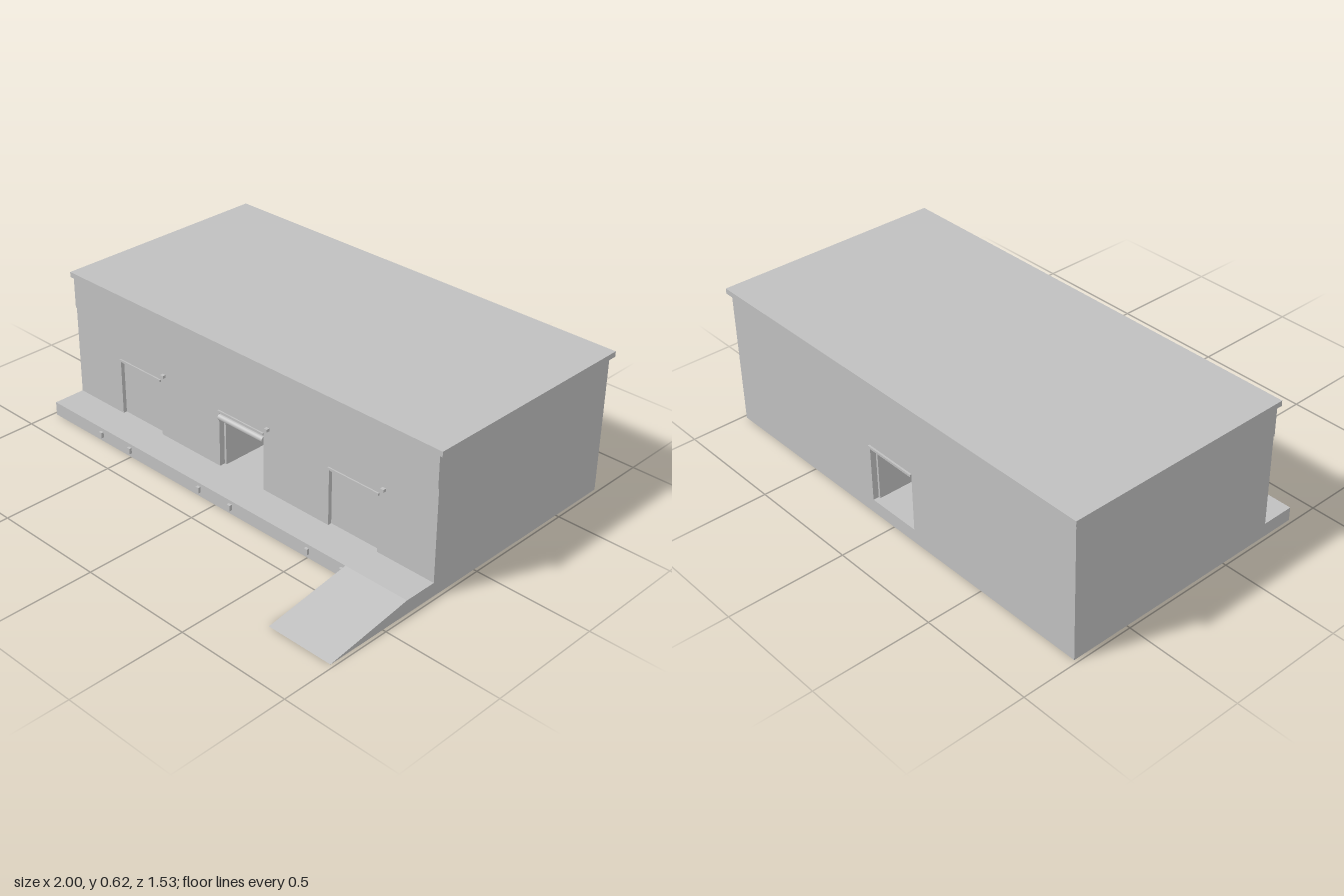
import * as THREE from 'three';

export function createModel() {
  const model = new THREE.Group();
  const grey = new THREE.MeshStandardMaterial({ color: 0xc0c0c0 });
  grey.name = 'plain grey';

  const add = (name, geometry) => {
    const mesh = new THREE.Mesh(geometry, grey);
    mesh.name = name;
    model.add(mesh);
    return mesh;
  };
  // Box given by its min and max on each axis
  const box = (name, x0, x1, y0, y1, z0, z1) =>
    add(name, new THREE.BoxGeometry(x1 - x0, y1 - y0, z1 - z0))
      .position.set((x0 + x1) / 2, (y0 + y1) / 2, (z0 + z1) / 2);

  const W = 0.985, H = 0.597, T = 0.025;        // half width, wall height, wall thickness
  const FRONT = 0.23, BACK = -0.755;
  const FLOOR = 0.06, DOOR_TOP = 0.308, DOOR = 0.123;
  const bays = [-0.59, 0, 0.59];

  // Long wall with a rectangular doorway at each given x
  const wall = (name, doors, z) => {
    const shape = new THREE.Shape([
      [-W, 0], [W, 0], [W, H], [-W, H],
    ].map(([x, y]) => new THREE.Vector2(x, y)));
    for (const c of doors) {
      shape.holes.push(new THREE.Path([
        [c - DOOR, FLOOR], [c - DOOR, DOOR_TOP], [c + DOOR, DOOR_TOP], [c + DOOR, FLOOR],
      ].map(([x, y]) => new THREE.Vector2(x, y))));
    }
    add(name, new THREE.ExtrudeGeometry(shape, { depth: T, bevelEnabled: false })).position.z = z;
  };
  wall('frontWall', bays, FRONT - T);
  wall('backWall', [0], BACK);
  box('leftWall', W - T, W, 0, H, BACK + T, FRONT - T);
  box('rightWall', -W, -W + T, 0, H, BACK + T, FRONT - T);

  // Roof slab and raised band under the eaves
  box('roof', -1, 1, H, 0.62, -0.77, 0.24);
  box('fasciaBand', -W, W, 0.46, H, FRONT, FRONT + 0.005);

  // Passage running from the front doorway to the back one
  box('passageFloor', -0.14, 0.14, 0, FLOOR, BACK + T, FRONT - T);
  box('passageCeiling', -0.14, 0.14, 0.295, DOOR_TOP, BACK + T, FRONT - T);
  for (const s of [-1, 1]) {
    const edges = [s * 0.113, s * 0.14].sort((a, b) => a - b);
    box('passageWall', edges[0], edges[1], FLOOR, 0.295, BACK + T, FRONT - T);
  }

  // Loading dock and ramp
  box('dock', -W, W, 0, FLOOR, FRONT, 0.375);
  const wedge = new THREE.Shape([
    new THREE.Vector2(0.375, 0), new THREE.Vector2(0.765, 0), new THREE.Vector2(0.375, FLOOR),
  ]);
  const ramp = add('ramp', new THREE.ExtrudeGeometry(wedge, { depth: 0.295, bevelEnabled: false }));
  ramp.rotation.y = -Math.PI / 2;
  ramp.position.x = W;

  // Fittings of each loading bay
  for (const c of bays) {
    box('doorLintel', c - 0.125, c + 0.125, DOOR_TOP, 0.318, FRONT, FRONT + 0.006);
    box('doorLamp', c + 0.14, c + 0.156, 0.339, 0.351, FRONT, FRONT + 0.015);
    for (const x of [-0.09, 0.087]) {
      box('dockBumper', c + x - 0.008, c + x + 0.008, 0.02, 0.045, 0.375, 0.387);
    }
    if (c !== 0) {
      box('closedDoor', c - DOOR, c + DOOR, FLOOR, DOOR_TOP, FRONT - T, FRONT - T + 0.008);
    }
  }
  box('backLintel', -0.125, 0.125, DOOR_TOP, 0.318, BACK - 0.008, BACK);

  // Rolled-up shutter in the open bay
  const roll = add('shutterRoll', new THREE.CylinderGeometry(0.013, 0.013, 2 * DOOR, 20));
  roll.rotation.z = Math.PI / 2;
  roll.position.set(0, 0.286, 0.227);
  box('shutterEdge', -DOOR, DOOR, 0.271, DOOR_TOP, FRONT - 0.02, FRONT - 0.012);

  return model;
}
